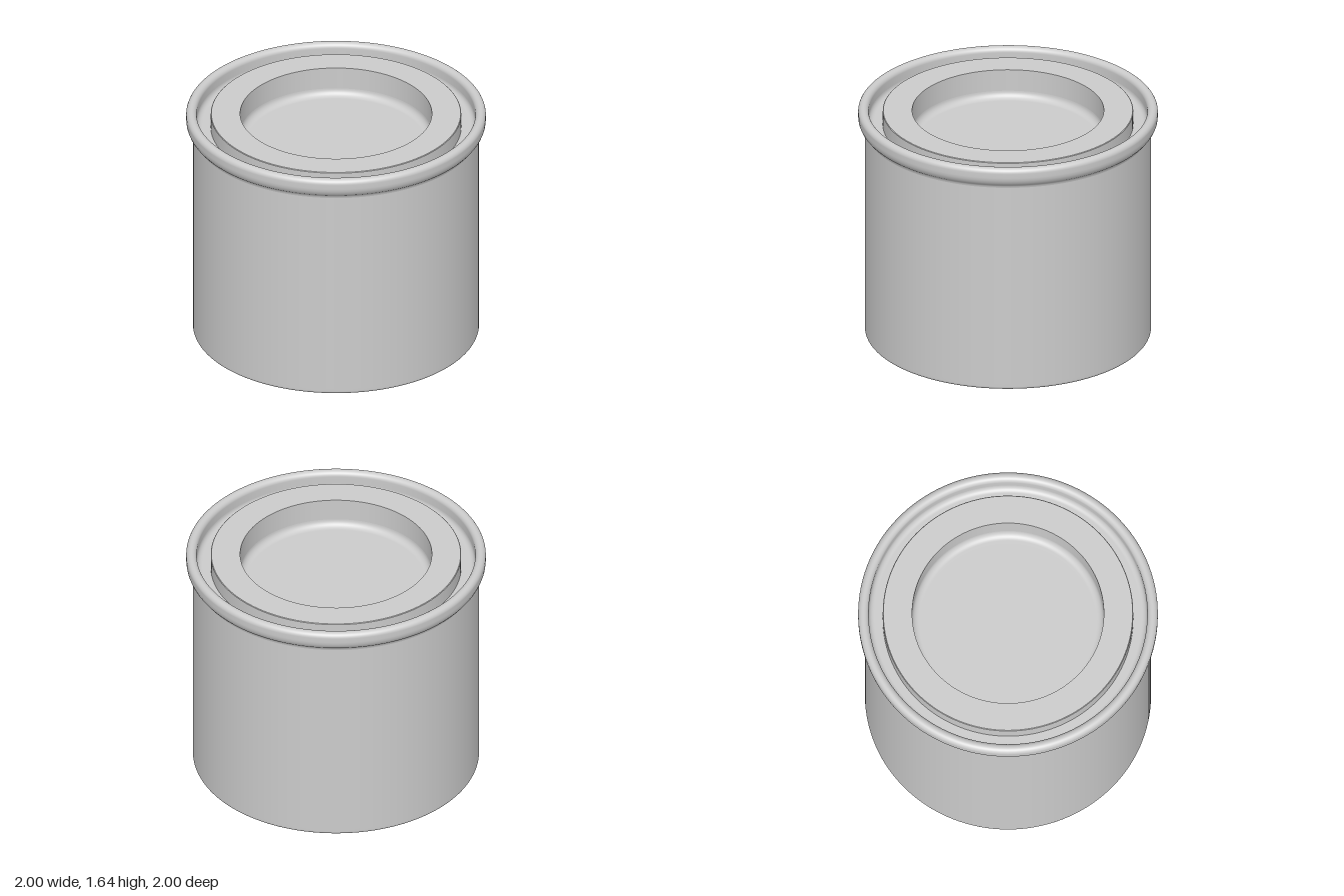
import * as THREE from 'three';

const material = new THREE.MeshStandardMaterial({ color: 0xcccccc });

// Points of a rounded corner: centre, radius, start and end angle in degrees
function arc(cx, cy, r, a0, a1, n = 8) {
  return Array.from({ length: n + 1 }, (_, i) => {
    const a = THREE.MathUtils.degToRad(a0 + ((a1 - a0) * i) / n);
    return [cx + r * Math.cos(a), cy + r * Math.sin(a)];
  });
}

// Each section is one smooth run; edges between sections stay sharp
function turned(name, sections) {
  const part = new THREE.Group();
  part.name = name;
  for (const section of sections) {
    const points = section.map(([x, y]) => new THREE.Vector2(x, y));
    const mesh = new THREE.Mesh(new THREE.LatheGeometry(points, 128), material);
    mesh.name = name + 'Surface';
    part.add(mesh);
  }
  return part;
}

export function createModel() {
  const model = new THREE.Group();
  model.name = 'tin';

  // Body: flat base, small rounded bottom edge, straight wall
  model.add(turned('body', [
    [[0, 0], [0.935, 0]],
    [...arc(0.935, 0.02, 0.02, -90, 0), [0.955, 0.04]],
    [[0.955, 0.04], [0.955, 1.485]],
  ]));

  // Rolled rim: flares out of the wall, over the top and down the inside
  model.add(turned('rim', [
    [
      [0.955, 1.485], [0.957, 1.497], [0.964, 1.507], [0.978, 1.518], [0.99, 1.534], [0.998, 1.555],
      [1, 1.575], ...arc(0.965, 1.605, 0.035, 0, 180, 20), [0.93, 1.59],
    ],
  ]));

  // Groove between rim and lid, with a rounded outer corner
  model.add(turned('groove', [
    [[0.93, 1.59], [0.93, 1.55], ...arc(0.89, 1.55, 0.04, 0, -90), [0.836, 1.51]],
  ]));

  // Raised lid ring
  model.add(turned('lidRing', [
    [[0.836, 1.51], [0.836, 1.61]],
    [[0.836, 1.61], [0.832, 1.614]],
    [[0.832, 1.614], [0.64, 1.614]],
  ]));

  // Sunken lid centre with a soft corner at the floor
  model.add(turned('lidRecess', [
    [[0.64, 1.614], [0.64, 1.46], ...arc(0.59, 1.46, 0.05, 0, -90), [0.55, 1.41], [0, 1.41]],
  ]));

  return model;
}
